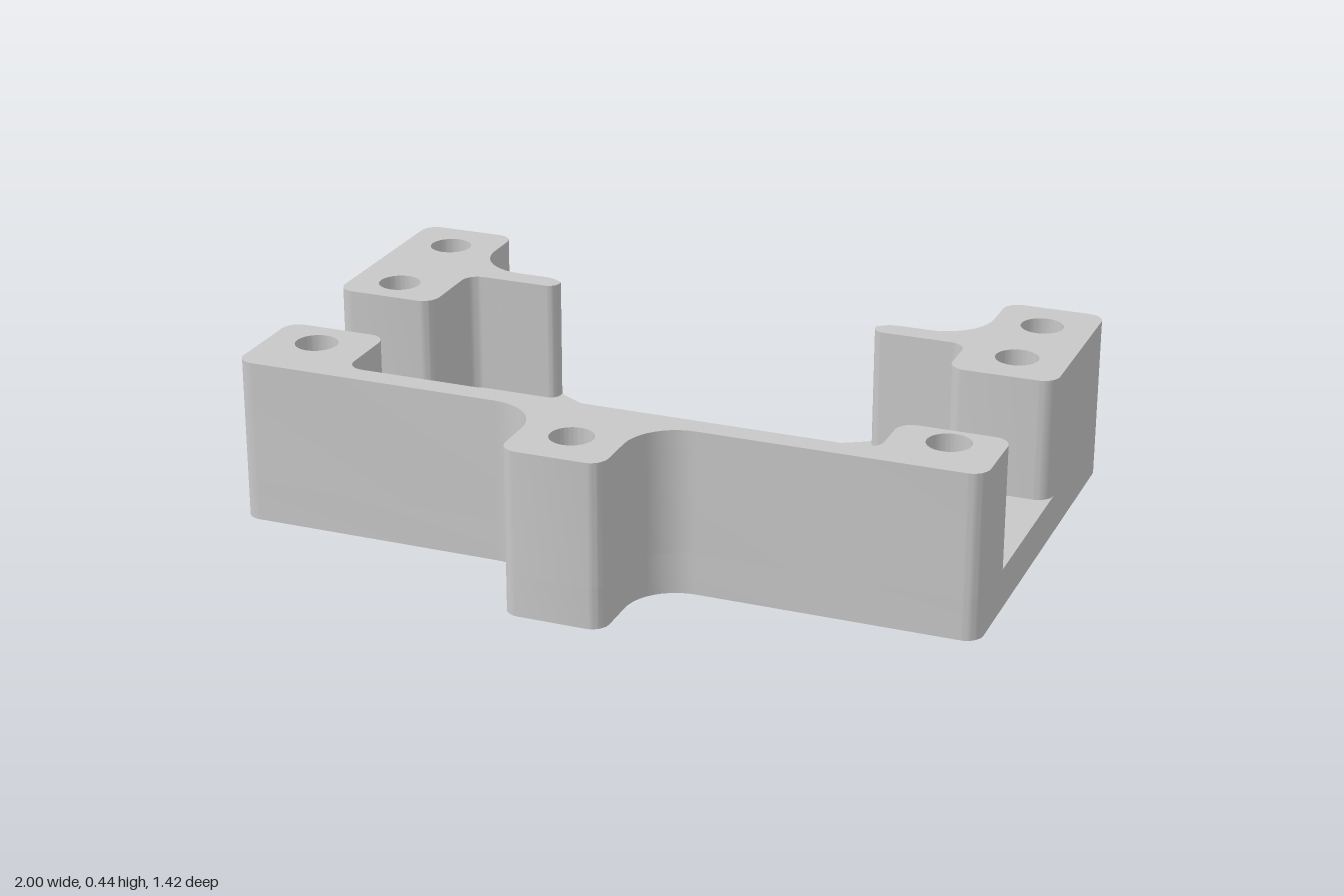
import * as THREE from 'three';
import { toCreasedNormals } from 'three/addons/utils/BufferGeometryUtils.js';

const HEIGHT = 0.44, FLOOR = 0.11, HOLE = 0.057;

// Turns corners [x, z, radius] into a smooth outline of points (shape y is -z).
function roundedOutline(corners) {
  const out = [];
  const n = corners.length;
  corners.forEach(([x, z, r = 0], i) => {
    const p = new THREE.Vector2(x, -z);
    if (!r) { out.push(p); return; }
    const at = (k) => new THREE.Vector2(corners[k % n][0], -corners[k % n][1]);
    const a = at(i + n - 1).sub(p).normalize();
    const b = at(i + 1).sub(p).normalize();
    const half = Math.acos(THREE.MathUtils.clamp(a.dot(b), -1, 1)) / 2;
    const centre = a.clone().add(b).normalize().multiplyScalar(r / Math.sin(half)).add(p);
    const t = r / Math.tan(half);
    const start = a.multiplyScalar(t).add(p).sub(centre).angle();
    let sweep = b.multiplyScalar(t).add(p).sub(centre).angle() - start;
    if (sweep > Math.PI) sweep -= 2 * Math.PI;
    if (sweep < -Math.PI) sweep += 2 * Math.PI;
    for (let k = 0; k <= 10; k++) {
      const g = start + sweep * k / 10;
      out.push(new THREE.Vector2(centre.x + r * Math.cos(g), centre.y + r * Math.sin(g)));
    }
  });
  return out;
}

// Corners along an arc, angles measured from +x towards +z.
function arc(cx, cz, r, from, to, steps) {
  return Array.from({ length: steps + 1 }, (_, i) => {
    const g = from + (to - from) * i / steps;
    return [cx + r * Math.cos(g), cz + r * Math.sin(g)];
  });
}

const mirror = (corners) => corners.map(([x, z, r]) => [-x, z, r]).reverse();

// Upright plate or block with through-holes. The outline runs counter-clockwise
// and the holes clockwise, so that every wall faces outwards.
function slab(name, corners, holes, y0, y1, material, windows = []) {
  const ordered = (points, clockwise) =>
    THREE.ShapeUtils.isClockWise(points) === clockwise ? points : points.reverse();
  const shape = new THREE.Shape(ordered(roundedOutline(corners), false));
  for (const [x, z] of holes) shape.holes.push(new THREE.Path().absarc(x, -z, HOLE, 0, Math.PI * 2, true));
  for (const w of windows) shape.holes.push(new THREE.Path(ordered(roundedOutline(w), true)));
  const geo = new THREE.ExtrudeGeometry(shape, { depth: y1 - y0, bevelEnabled: false, curveSegments: 32 });
  geo.rotateX(-Math.PI / 2);
  geo.translate(0, y0, 0);
  const mesh = new THREE.Mesh(toCreasedNormals(geo, 0.6), material);
  mesh.name = name;
  return mesh;
}

export function createModel() {
  const group = new THREE.Group();
  group.name = 'mountingBracket';
  const grey = new THREE.MeshStandardMaterial({ color: 0xc8c8c8 });
  grey.name = 'grey';

  // Outer edges shared by the base and the raised blocks
  const backLobe = [[-1, -0.711, 0.045], [-0.73, -0.711, 0.045], [-0.73, -0.438, 0.14], [-0.488, -0.438, 0.07]];
  const frontEdge = [
    [1, 0.434, 0.045], [0.135, 0.434, 0.135], [0.135, 0.711, 0.045],
    [-0.135, 0.711, 0.045], [-0.135, 0.434, 0.135], [-1, 0.434, 0.045],
  ];
  const R = 0.826, spread = Math.asin(0.455 / R);
  const backScoop = arc(0, -0.277 - R, R, Math.PI / 2 + spread, Math.PI / 2 - spread, 32);

  // Central window, notched around the inner holes
  const windowHalf = [
    [0.49, -0.138],
    ...arc(0.62, -0.247, 0.16, 2.38, 1.75, 8),
    [0.62, -0.087, 0.025], [0.62, 0.084, 0.025],
    ...arc(0.62, 0.244, 0.16, -1.75, -2.95, 12),
    [0.455, 0.246, 0.022],
  ];
  const window = [...windowHalf, ...mirror(windowHalf)];

  // Screw holes
  const backRightHoles = [[-0.865, -0.577], [-0.865, -0.248]];
  const backLeftHoles = [[0.862, -0.577], [0.862, -0.332]];
  const frontHoles = [[-0.865, 0.244], [0.862, 0.272], [0, 0.573]];
  const innerHoles = [[-0.62, -0.248], [0.62, -0.248], [-0.62, 0.244], [0.62, 0.244]];

  // Base plate
  group.add(slab('basePlate', [...backLobe, ...backScoop, ...mirror(backLobe), ...frontEdge],
    [...backRightHoles, ...backLeftHoles, ...frontHoles, ...innerHoles], 0, FLOOR, grey, [window]));

  // Raised back blocks with a rounded horn beside the scoop
  const backBlock = (endZ) => [
    ...backLobe, backScoop[0], [-0.455, -0.374, 0.03],
    [-0.715, -0.374, 0.045], [-0.715, endZ, 0.045], [-1, endZ, 0.045],
  ];
  group.add(slab('backRightBlock', backBlock(-0.138), backRightHoles, FLOOR, HEIGHT, grey));
  group.add(slab('backLeftBlock', mirror(backBlock(-0.197)), backLeftHoles, FLOOR, HEIGHT, grey));

  // Raised front wall with its end blocks and middle lug
  group.add(slab('frontWall', [
    [-1, 0.137, 0.045], [-0.715, 0.137, 0.045], [-0.715, 0.37, 0.045],
    [0.715, 0.37, 0.045], [0.715, 0.197, 0.045], [1, 0.197, 0.045], ...frontEdge,
  ], frontHoles, FLOOR, HEIGHT, grey));

  return group;
}
